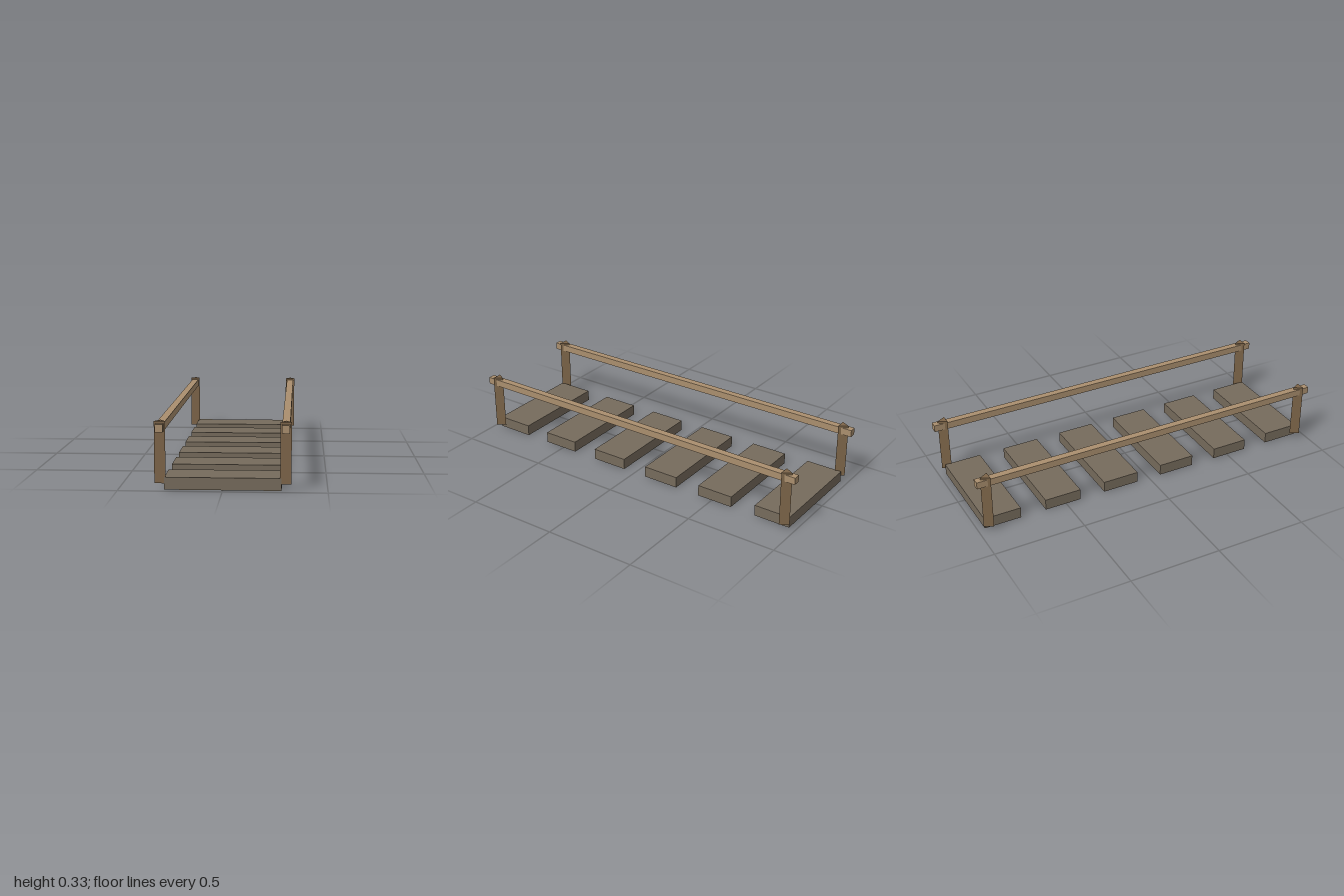
import * as THREE from 'three';

const plankWood = new THREE.MeshStandardMaterial({ color: 0x766b5c });
plankWood.name = 'weathered plank wood';
const railWood = new THREE.MeshStandardMaterial({ color: 0xaa8f6e });
railWood.name = 'light rail wood';
const postWood = new THREE.MeshStandardMaterial({ color: 0x7d6549 });
postWood.name = 'brown post wood';
postWood.flatShading = true;

export function createModel() {
  const bridge = new THREE.Group();
  bridge.name = 'plankBridge';

  const add = (name, geometry, material, x, y, z) => {
    const mesh = new THREE.Mesh(geometry, material);
    mesh.name = name;
    mesh.position.set(x, y, z);
    bridge.add(mesh);
  };

  // Six evenly spaced walking planks
  const plank = new THREE.BoxGeometry(0.56, 0.06, 0.203);
  for (let i = 0; i < 6; i++) {
    add(`plank${i + 1}`, plank, plankWood, 0, 0.03, -0.86 + i * 0.344);
  }

  // Three-sided posts, each with one edge towards the back
  const post = new THREE.CylinderGeometry(0.031, 0.031, 0.3, 3);
  post.rotateY(Math.PI);

  // A handrail on each side, carried by a post at either end
  const rail = new THREE.BoxGeometry(0.038, 0.038, 2);
  for (const [side, s] of [['left', 1], ['right', -1]]) {
    add(`${side}Handrail`, rail, railWood, s * 0.3, 0.3, 0);
    add(`${side}FrontPost`, post, postWood, s * 0.3, 0.18, 0.943);
    add(`${side}BackPost`, post, postWood, s * 0.3, 0.18, -0.943);
  }
  return bridge;
}
